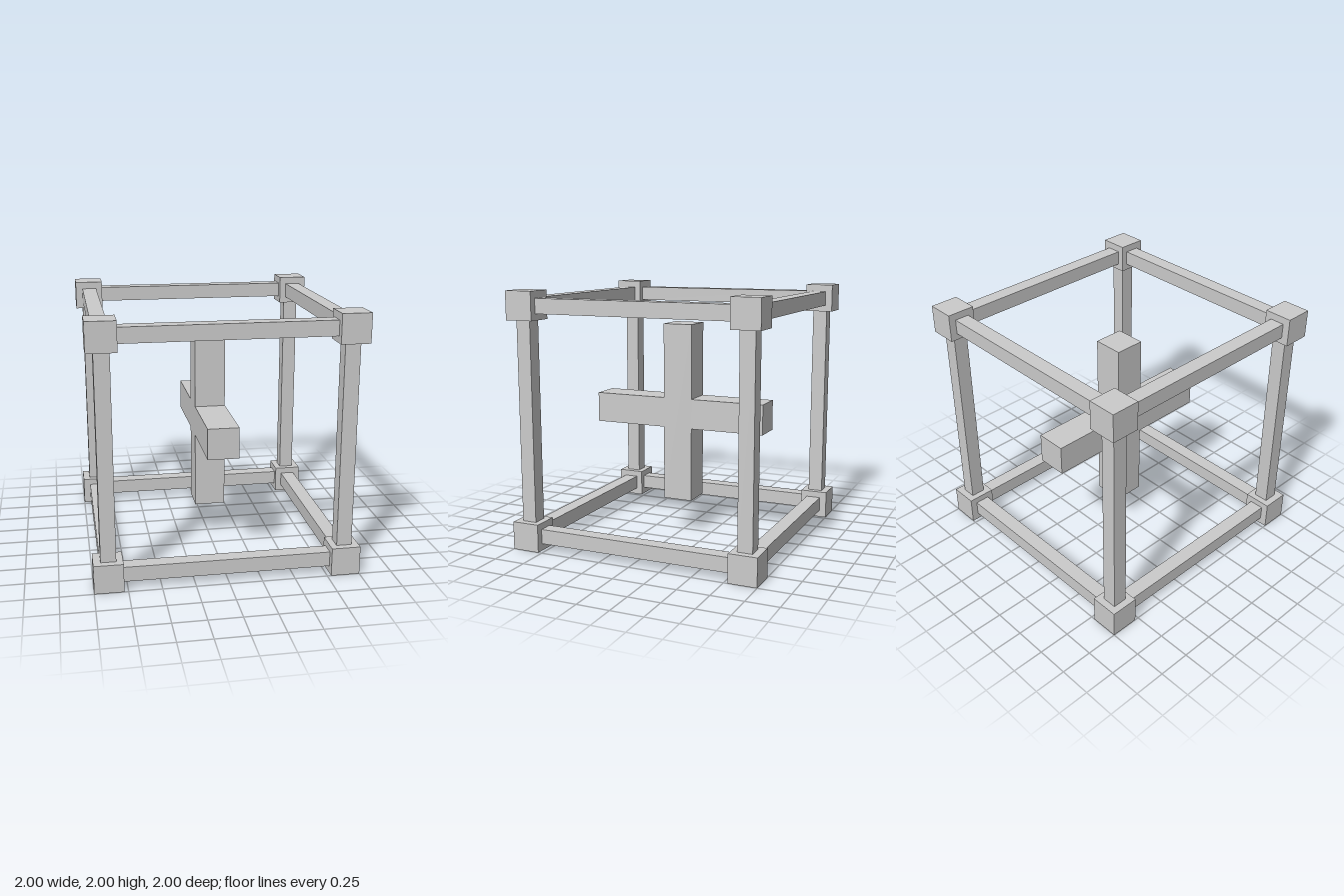
import * as THREE from 'three';

const CORNER = 0.22;  // corner cube size
const C = 0.89;       // distance of corner cubes and beams from the centre
const BEAM = 0.115;   // beam thickness
const BAR = 0.24;     // thickness of the inner cross

export function createModel() {
  const model = new THREE.Group();
  model.name = 'cubeFrame';
  const material = new THREE.MeshStandardMaterial({ color: 0xcccccc, flatShading: true });

  const addBox = (name, size, position) => {
    const mesh = new THREE.Mesh(new THREE.BoxGeometry(...size), material);
    mesh.name = name;
    mesh.position.set(...position);
    model.add(mesh);
  };

  // corner cubes
  for (const x of [-C, C])
    for (const y of [-C, C])
      for (const z of [-C, C])
        addBox('cornerCube', [CORNER, CORNER, CORNER], [x, 1 + y, z]);

  // twelve edge beams, four along each axis, spanning between the corner cubes
  const beamNames = ['beamAcross', 'beamUpright', 'beamDeep'];
  const offset = C - 0.0025;
  for (let axis = 0; axis < 3; axis++)
    for (const a of [-offset, offset])
      for (const b of [-offset, offset]) {
        const size = [BEAM, BEAM, BEAM];
        size[axis] = 2 * C - CORNER;
        const position = [0, 0, 0];
        position[(axis + 1) % 3] = a;
        position[(axis + 2) % 3] = b;
        position[1] += 1;
        addBox(beamNames[axis], size, position);
      }

  // floating cross in the middle
  addBox('crossUpright', [BAR, 1.43, BAR], [0, 1, 0]);
  addBox('crossBar', [BAR, BAR, 1.44], [0, 1, 0]);

  return model;
}
